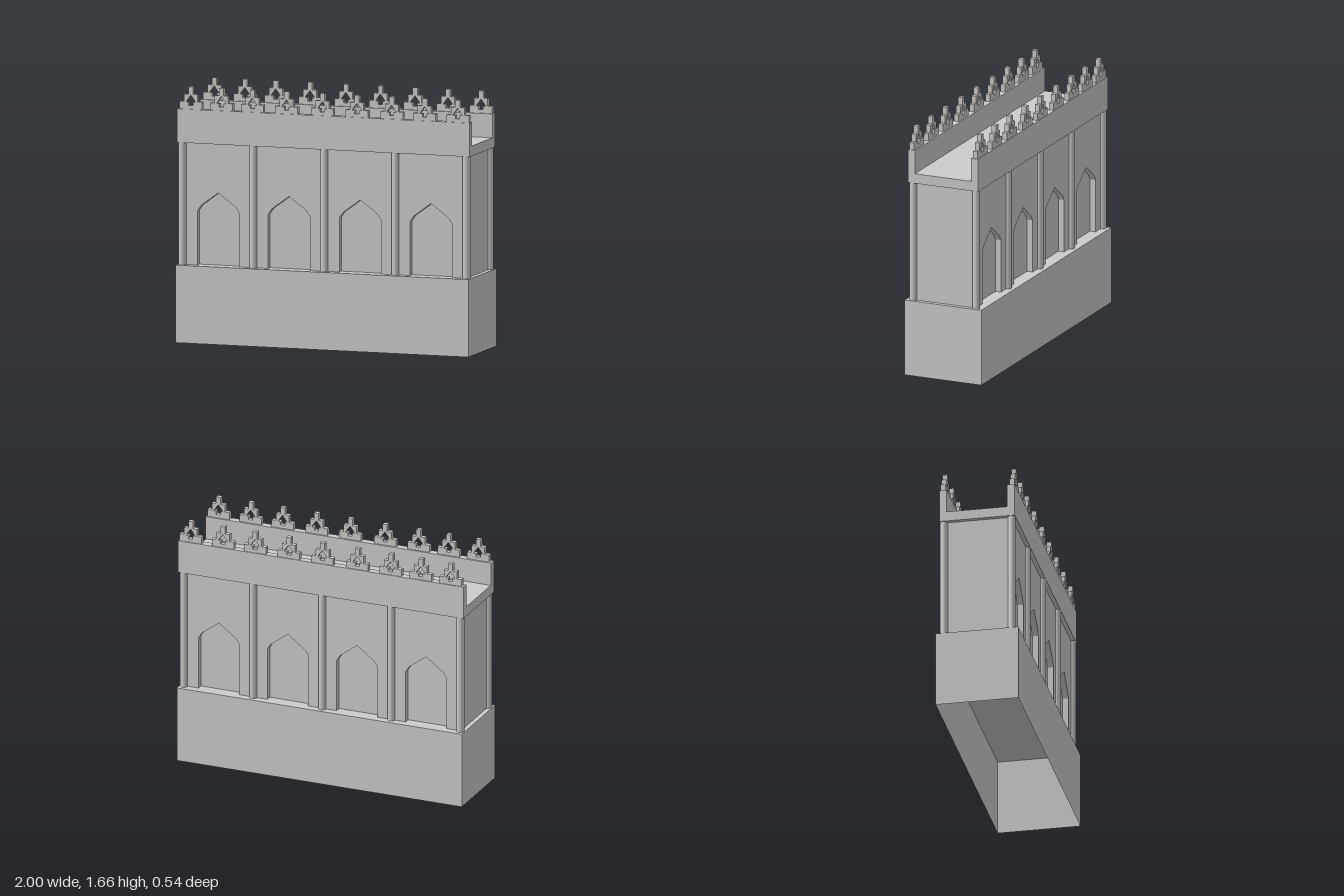
import * as THREE from 'three';

const BASE_TOP = 0.505, DECK_BOTTOM = 1.3, PARAPET_TOP = 1.52;

export function createModel() {
  const group = new THREE.Group();
  const material = new THREE.MeshStandardMaterial({ color: 0xcccccc });
  const openMaterial = new THREE.MeshStandardMaterial({ color: 0xcccccc, side: THREE.DoubleSide });

  const add = (name, geometry, x = 0, y = 0, z = 0, mat = material) => {
    const mesh = new THREE.Mesh(geometry, mat);
    mesh.name = name;
    mesh.position.set(x, y, z);
    group.add(mesh);
    return mesh;
  };
  const polygon = (points, Type = THREE.Shape) => new Type(points.map(p => new THREE.Vector2(...p)));
  // extrusion centred on z = 0
  const slab = (shape, depth) =>
    new THREE.ExtrudeGeometry(shape, { depth, bevelEnabled: false }).translate(0, 0, -depth / 2);
  // closes a right-hand outline with its mirror image
  const mirrored = half => [...half, ...half.map(([x, y]) => [-x, y]).reverse().filter(([x]) => x !== 0)];

  // Plinth, open underneath
  const plinth = new THREE.BoxGeometry(2, BASE_TOP, 0.544);
  const faces = Array.from(plinth.index.array);
  faces.splice(18, 6);
  plinth.setIndex(faces);
  plinth.clearGroups();
  add('plinth', plinth, 0, BASE_TOP / 2, 0, openMaterial);

  // Wall core and the arched facing on both long sides
  const wallHeight = DECK_BOTTOM - BASE_TOP;
  add('wallCore', new THREE.BoxGeometry(1.94, wallHeight, 0.36), 0, BASE_TOP + wallHeight / 2, 0);
  const outline = [[0.97, BASE_TOP], [0.97, DECK_BOTTOM], [-0.97, DECK_BOTTOM], [-0.97, BASE_TOP]];
  for (const x of [-0.727, -0.243, 0.243, 0.727]) {
    const arch = [[-0.143, BASE_TOP], [-0.143, 0.855], [-0.118, 0.893], [0, 0.98],
      [0.118, 0.893], [0.143, 0.855], [0.143, BASE_TOP]];
    outline.push(...arch.map(([ax, ay]) => [x + ax, ay]));
  }
  const facing = slab(polygon(outline), 0.04);

  // Channel-shaped deck with its two parapets, swept along x
  const channel = slab(polygon(mirrored([
    [0, DECK_BOTTOM], [0.248, DECK_BOTTOM], [0.248, PARAPET_TOP], [0.199, PARAPET_TOP], [0.199, 1.365],
  ])), 2).rotateY(Math.PI / 2);
  add('deckAndParapets', channel);

  // Stepped merlon pierced by an arrow-shaped opening
  const merlonShape = polygon(mirrored([
    [0.077, PARAPET_TOP], [0.077, 1.568], [0.046, 1.568], [0.046, 1.617], [0.016, 1.617], [0.016, 1.665],
  ]));
  merlonShape.holes.push(polygon(mirrored([
    [0, 1.612], [0.03, 1.571], [0.03, 1.565], [0.015, 1.565], [0.015, 1.543],
  ]), THREE.Path));
  const merlon = slab(merlonShape, 0.032);

  const column = new THREE.CylinderGeometry(0.025, 0.025, wallHeight, 24);
  const merlonX = [-0.907, -0.698, -0.487, -0.253, -0.008, 0.228, 0.465, 0.69, 0.916];

  // Both long sides
  for (const [side, s] of [['front', 1], ['back', -1]]) {
    add(side + 'ArchedFacing', facing, 0, 0, s * 0.2);
    for (const x of [-0.97, -0.485, 0, 0.485, 0.97])
      add(side + 'Column', column, x, BASE_TOP + wallHeight / 2, s * 0.223);
    for (const x of merlonX) add(side + 'Merlon', merlon, x, 0, s * 0.226);
  }
  return group;
}
